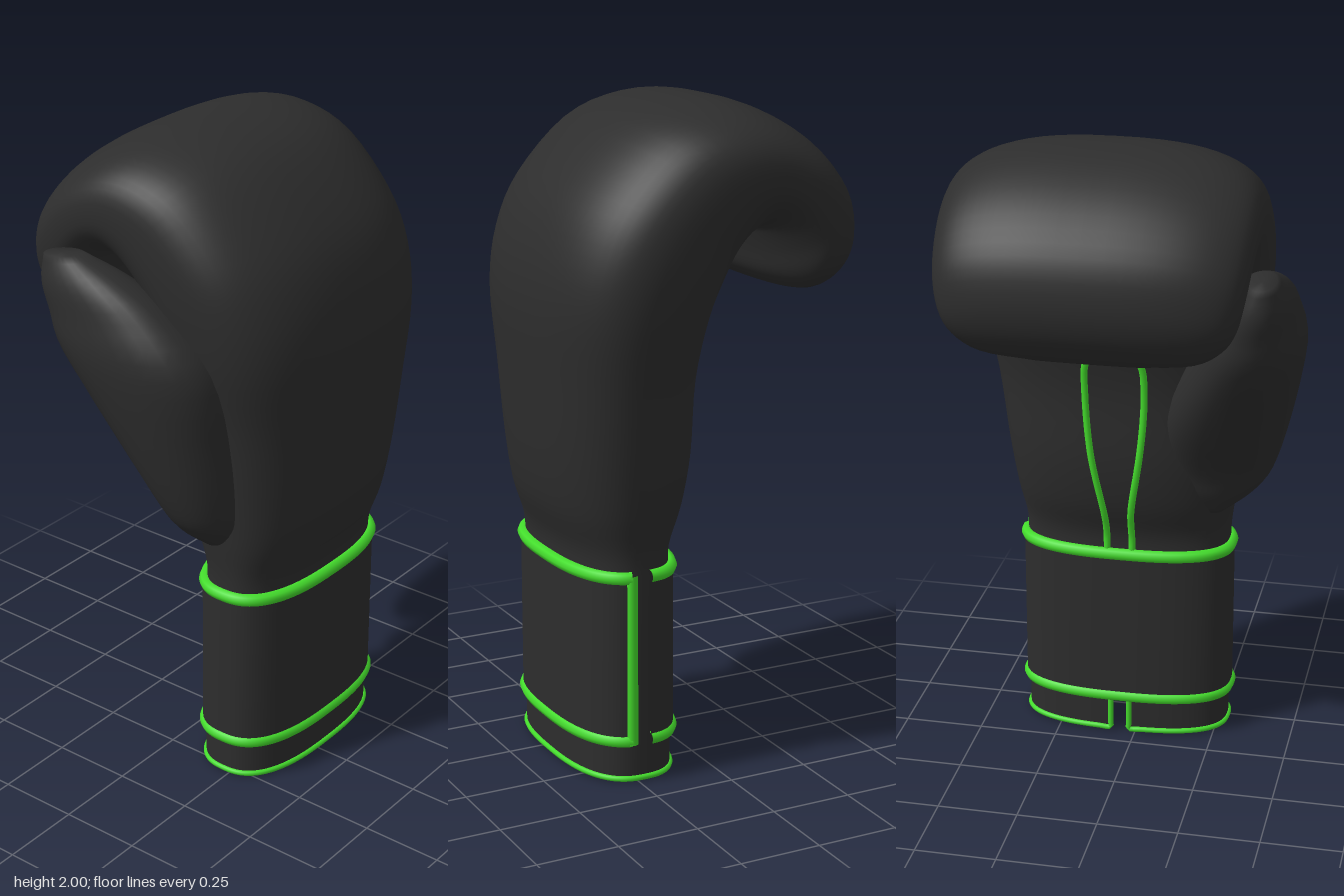
import * as THREE from 'three';

const black = new THREE.MeshStandardMaterial({ color: 0x2d2d2d, side: THREE.DoubleSide });
black.name = 'black leather';
const green = new THREE.MeshStandardMaterial({ color: 0x44dd2c });
green.name = 'green piping';

// Signed power used for the rounded-rectangle cross-sections
const pw = (v, n) => Math.sign(v) * Math.abs(v) ** (2 / n);

// Skin a list of equally long rows of points
function loft(rows, closed, cap = []) {
  const n = rows[0].length, pos = [], idx = [];
  rows.forEach(r => r.forEach(p => pos.push(p.x, p.y, p.z)));
  for (let j = 0; j < rows.length - 1; j++) {
    for (let i = 0; i < (closed ? n : n - 1); i++) {
      const a = j * n + i, b = j * n + (i + 1) % n;
      idx.push(a, a + n, b, b, a + n, b + n);
    }
  }
  for (const end of cap) {
    const j = end ? rows.length - 1 : 0, c = new THREE.Vector3();
    rows[j].forEach(p => c.addScaledVector(p, 1 / n));
    const k = pos.length / 3;
    pos.push(c.x, c.y, c.z);
    for (let i = 0; i < n; i++) {
      const a = j * n + i, b = j * n + (i + 1) % n;
      if (end) idx.push(a, k, b); else idx.push(b, k, a);
    }
  }
  const g = new THREE.BufferGeometry();
  g.setAttribute('position', new THREE.Float32BufferAttribute(pos, 3));
  g.setIndex(idx);
  g.computeVertexNormals();
  return g;
}

// Padded form: rows of [outer z, outer y, inner z, inner y, centre x, half width]
function padded(rows, n) {
  const curve = f => new THREE.CatmullRomCurve3(rows.map(f), false, 'catmullrom', 0.5);
  const outer = curve(r => new THREE.Vector3(r[4], r[1], r[0]));
  const inner = curve(r => new THREE.Vector3(r[5], r[3], r[2]));
  const point = (s, u, w) => {
    const o = outer.getPoint(s), i = inner.getPoint(s);
    const k = (1 + w) / 2;
    return new THREE.Vector3(o.x + u * i.x, i.y + (o.y - i.y) * k, i.z + (o.z - i.z) * k);
  };
  const geometry = (steps, sides, cap) => loft(Array.from({ length: steps + 1 }, (_, j) =>
    Array.from({ length: sides }, (_, i) => {
      const t = i / sides * Math.PI * 2;
      return point(j / steps, pw(Math.cos(t), n), pw(Math.sin(t), n));
    })), true, cap);
  // Point on the palm side at a given x
  const palm = (s, x) => {
    const u = (x - outer.getPoint(s).x) / inner.getPoint(s).x;
    return point(s, u, -((1 - Math.abs(u) ** n) ** (1 / n)));
  };
  return { geometry, palm };
}

// Wrist outline: angle 0 is +x, a quarter turn is the front
const wrist = (t, y, off = 0) => new THREE.Vector3(
  0.05 + (0.33 + off) * pw(Math.cos(t), 2.6), y, 0.228 + (0.16 + off) * pw(Math.sin(t), 2.6));

const arc = (t0, t1, y, off, n = 72) =>
  Array.from({ length: n + 1 }, (_, i) => wrist(t0 + (t1 - t0) * i / n, y, off));

const piping = (pts, r, closed = false) => new THREE.TubeGeometry(
  new THREE.CatmullRomCurve3(pts, closed), pts.length * 2, r, 8, closed);

export function createModel() {
  const glove = new THREE.Group();
  glove.name = 'boxingGlove';
  const add = (name, geometry, material) => {
    const m = new THREE.Mesh(geometry, material);
    m.name = name;
    glove.add(m);
  };

  // Hand padding, curling over into the fingers
  const hand = padded([
    [0.385, 0.60, 0.07, 0.60, 0.05, 0.328],
    [0.39, 0.70, 0.07, 0.70, 0.05, 0.33],
    [0.43, 0.82, 0.03, 0.82, 0.055, 0.35],
    [0.455, 0.98, 0.005, 0.98, 0.06, 0.37],
    [0.47, 1.20, 0.0, 1.20, 0.062, 0.398],
    [0.48, 1.42, -0.035, 1.38, 0.058, 0.438],
    [0.45, 1.60, -0.08, 1.49, 0.057, 0.458],
    [0.37, 1.76, -0.12, 1.56, 0.055, 0.465],
    [0.20, 1.93, -0.155, 1.595, 0.055, 0.467],
    [0.02, 1.995, -0.18, 1.61, 0.055, 0.467],
    [-0.15, 1.985, -0.20, 1.60, 0.055, 0.465],
    [-0.32, 1.90, -0.21, 1.575, 0.055, 0.46],
    [-0.44, 1.77, -0.225, 1.53, 0.055, 0.45],
    [-0.475, 1.64, -0.24, 1.48, 0.055, 0.43],
    [-0.46, 1.54, -0.26, 1.45, 0.055, 0.39],
    [-0.41, 1.465, -0.29, 1.425, 0.055, 0.31],
    [-0.36, 1.43, -0.32, 1.42, 0.055, 0.16],
  ], 2.55);
  add('hand', hand.geometry(64, 64, [1]), black);

  // Thumb
  const thumb = padded([
    [0.22, 0.77, 0.10, 0.79, -0.24, 0.03],
    [0.27, 0.85, 0.06, 0.86, -0.24, 0.12],
    [0.29, 0.93, 0.02, 0.95, -0.255, 0.165],
    [0.29, 1.15, -0.10, 1.13, -0.29, 0.19],
    [0.26, 1.40, -0.26, 1.38, -0.37, 0.16],
    [0.12, 1.55, -0.295, 1.50, -0.40, 0.12],
    [-0.02, 1.63, -0.31, 1.58, -0.42, 0.085],
    [-0.17, 1.68, -0.30, 1.66, -0.43, 0.04],
  ], 2.2);
  add('thumb', thumb.geometry(28, 28, [0, 1]), black);

  // Teardrop piping on the palm
  const loop = [];
  for (let i = 0; i <= 40; i++) {
    const a = (i / 40 - 0.5) * 2, h = 1 - a * a;       // h: 0 at the cuff, 1 at the tip
    const spread = 0.04 + 0.052 * THREE.MathUtils.smoothstep(h, 0.2, 0.8);
    const round = Math.min(1, Math.sqrt(Math.max(0, 1 - ((h - 0.85) / 0.15) ** 2)));
    const x = 0.05 + Math.sign(a) * spread * (h > 0.85 ? round : 1);
    loop.push(hand.palm((0.5 + 4.45 * h) / 16, x));
  }
  add('palmPiping', piping(loop, 0.011), green);

  // Sleeve, slit at the back
  const s0 = -Math.PI / 2 + 0.044, s1 = Math.PI * 1.5 - 0.044;
  add('sleeve', loft([0.008, 0.2, 0.62].map(y => arc(s0, s1, y, 0)), false), black);
  const rise = t => [0.14, 0.1, 0.06, 0.025].map(y => wrist(t, y));
  add('sleevePiping', piping(
    [...rise(s0), ...arc(s0, s1, 0.009, 0), ...rise(s1).reverse()], 0.009), green);

  // Wrist strap with a gap on the outer side
  const c0 = 0.17, c1 = Math.PI * 2 - 0.045;
  add('wristStrap', loft([0.125, 0.38, 0.64].map(y => arc(c0, c1, y, 0.01)), false), black);
  for (const [name, y] of [['strapTopPiping', 0.635], ['strapBottomPiping', 0.13]]) {
    add(name, piping(arc(c0, c1, y, 0.001), 0.02), green);
  }
  add('strapEndPiping', piping(
    [0.12, 0.3, 0.5, 0.645].map(y => wrist(c0, y, 0.001)), 0.019), green);

  return glove;
}
